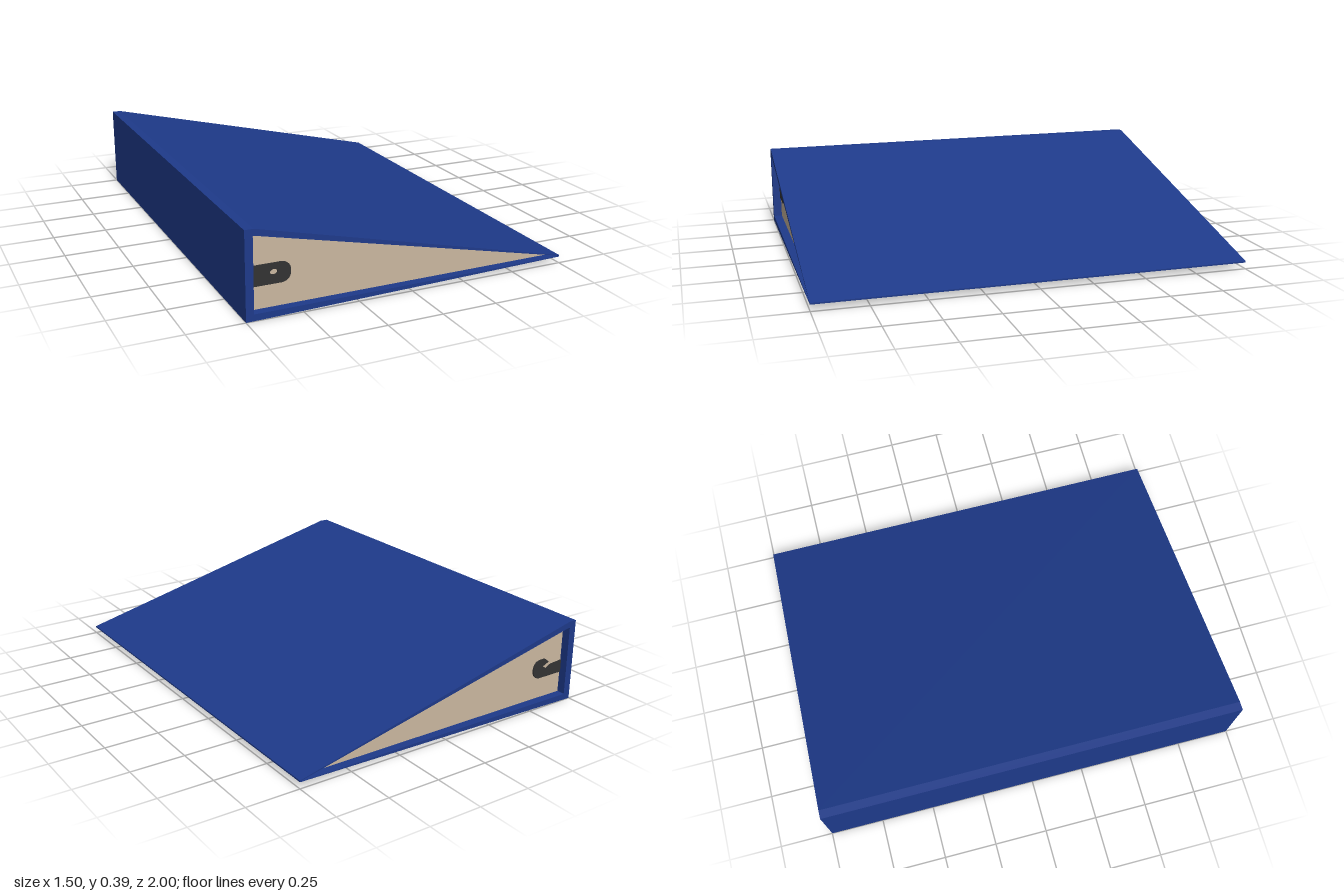
import * as THREE from 'three';

const blue = new THREE.MeshStandardMaterial({ color: 0x1e3a8a });
blue.name = 'coverBlue';
const cream = new THREE.MeshStandardMaterial({ color: 0xcbb8a0 });
cream.name = 'paperCream';
const dark = new THREE.MeshStandardMaterial({ color: 0x333333 });
dark.name = 'ringDark';

const shapeFrom = (pts) => new THREE.Shape(pts.map(([x, y]) => new THREE.Vector2(x, y)));

// Extrudes an x-y profile along z, centred on z
function slab(name, shape, depth, material, z = 0) {
  const geometry = new THREE.ExtrudeGeometry(shape, { depth, bevelEnabled: false, curveSegments: 12 });
  geometry.translate(0, 0, z - depth / 2);
  const mesh = new THREE.Mesh(geometry, material);
  mesh.name = name;
  return mesh;
}

// Outline of the ring end: square at the spine, rounded at the free end
function ringShape(hooked) {
  const s = new THREE.Shape();
  s.moveTo(-0.715, 0.13);
  s.lineTo(-0.58, 0.13);
  s.quadraticCurveTo(-0.54, 0.135, -0.54, 0.175);
  s.quadraticCurveTo(-0.54, 0.215, -0.58, 0.22);
  if (hooked) {
    // Hook curls back over the arm and leaves a notch by the spine
    s.lineTo(-0.61, 0.22);
    s.lineTo(-0.635, 0.2);
    s.lineTo(-0.6, 0.185);
    s.lineTo(-0.62, 0.17);
    s.lineTo(-0.65, 0.185);
    s.lineTo(-0.715, 0.19);
  } else {
    s.lineTo(-0.715, 0.22);
    const hole = new THREE.Path();
    hole.absellipse(-0.615, 0.181, 0.016, 0.012, 0, Math.PI * 2, true);
    s.holes.push(hole);
  }
  s.closePath();
  return s;
}

export function createModel() {
  const group = new THREE.Group();
  group.name = 'binder';

  // Folded cover: bottom board, spine and sloping top board
  const cover = shapeFrom([
    [-0.75, 0], [0.75, 0.03], [0.75, 0.037], [-0.71, 0.39], [-0.75, 0.39],
    [-0.75, 0.0],
  ].slice(0, 5));
  const inner = [[-0.715, 0.03], [-0.715, 0.36], [-0.705, 0.36], [0.744, 0.035], [0.744, 0.032]];
  cover.holes.push(new THREE.Path(inner.map(([x, y]) => new THREE.Vector2(x, y))));
  group.add(slab('cover', cover, 2, blue));

  // Paper block, set back from the cover ends
  group.add(slab('pages', shapeFrom([...inner].reverse()), 1.92, cream));

  // Ring ends showing on both ends of the paper
  group.add(slab('frontRing', ringShape(false), 0.006, dark, 0.962));
  group.add(slab('backRing', ringShape(true), 0.006, dark, -0.962));

  return group;
}
